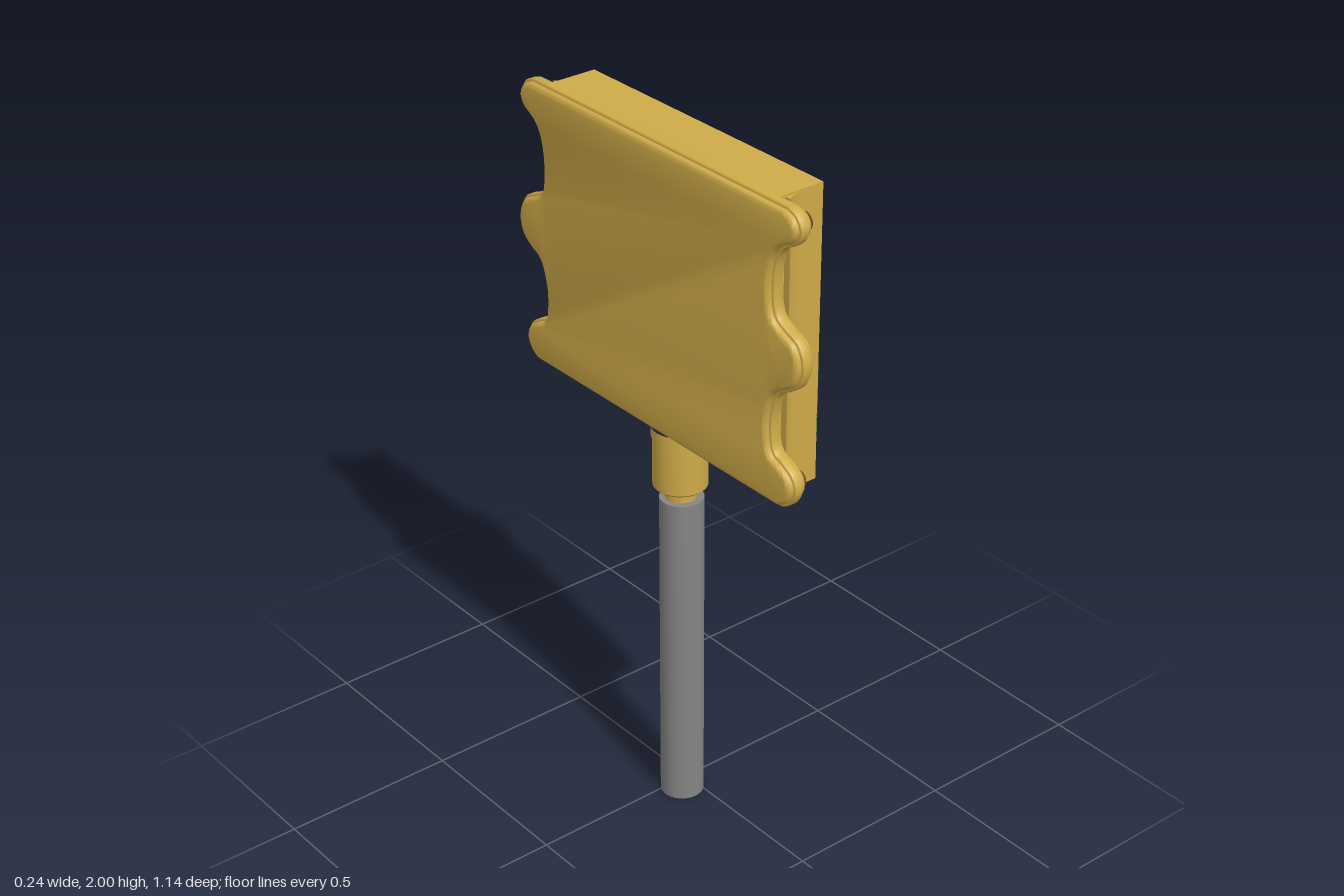
import * as THREE from 'three';
import { toCreasedNormals } from 'three/addons/utils/BufferGeometryUtils.js';

const mat = (color) => new THREE.MeshStandardMaterial({ color });
const yellow = mat(0xcfaa48), green = mat(0x1b6042), brown = mat(0x70482a);
const domeGrey = mat(0xcccccc), pipeGrey = mat(0x858585);

const BOTTOM = 1.175, TOP = 2, HALF = 0.448;

// Half outline of the back flange, [sideways, height], from top to bottom
const EARS = [
  [0.5, 2], [0.535, 1.985], [0.552, 1.95], [0.535, 1.912], [0.485, 1.88], [0.462, 1.83],
  [0.456, 1.76], [0.466, 1.70], [0.5, 1.675], [0.55, 1.65], [0.571, 1.595], [0.556, 1.54],
  [0.52, 1.51], [0.48, 1.485], [0.46, 1.43], [0.456, 1.38], [0.466, 1.32], [0.5, 1.302],
  [0.54, 1.275], [0.552, 1.235], [0.532, 1.195], [0.5, 1.175],
];

function flangeShape() {
  const side = new THREE.SplineCurve(EARS.map(([x, y]) => new THREE.Vector2(x, y))).getPoints(66);
  const other = side.map((p) => new THREE.Vector2(-p.x, p.y)).reverse();
  return new THREE.Shape([...side, ...other]);
}

// Plate between two x positions, its outline pulled in by inset, with rounded rims
function plate(x0, x1, inset, bevel) {
  const geo = new THREE.ExtrudeGeometry(flangeShape(), {
    depth: x1 - x0 - 2 * bevel, bevelThickness: bevel, bevelSize: bevel,
    bevelOffset: -inset - bevel, bevelSegments: 3, curveSegments: 1,
  });
  geo.translate(0, 0, x0 + bevel).rotateY(Math.PI / 2);
  return toCreasedNormals(geo, 0.7);
}

// Concave fillet joining the flange to the housing wall
function fillet(side) {
  const s = new THREE.Shape();
  s.moveTo(-0.065, -side * 0.43);
  s.lineTo(-0.065, -side * 0.468);
  s.quadraticCurveTo(-0.05, -side * HALF, 0, -side * HALF);
  s.lineTo(0, -side * 0.43);
  const geo = new THREE.ExtrudeGeometry(s, {
    depth: TOP - BOTTOM - 0.01, bevelEnabled: false, curveSegments: 6,
  });
  geo.rotateX(-Math.PI / 2).translate(0, BOTTOM + 0.005, 0);
  return toCreasedNormals(geo, 0.7);
}

// Turned part from [radius, height] points
function turned(points, segments) {
  const geo = new THREE.LatheGeometry(points.map(([r, y]) => new THREE.Vector2(r, y)), segments);
  return toCreasedNormals(geo, 0.6);
}

export function createModel() {
  const model = new THREE.Group();
  const add = (name, geo, material, x = 0, y = 0, z = 0) => {
    const mesh = new THREE.Mesh(geo, material);
    mesh.name = name;
    mesh.position.set(x, y, z);
    model.add(mesh);
    return mesh;
  };

  // Housing with its eared back flange
  add('housing', new THREE.BoxGeometry(0.155, TOP - BOTTOM, 2 * HALF), yellow, -0.0225, (TOP + BOTTOM) / 2, 0);
  add('backFlange', plate(-0.12, -0.06, 0.008, 0.012), yellow);
  add('flangeSeam', plate(-0.104, -0.078, 0, 0.004), yellow);
  for (const side of [1, -1]) add('flangeFillet', fillet(side), yellow);

  // Domed screws in the ears
  for (const side of [1, -1]) {
    for (const y of [1.945, 1.587, 1.235]) {
      const head = turned([[0.029, 0], [0.029, 0.01], [0.025, 0.019], [0.014, 0.025], [0, 0.026]], 16);
      head.rotateZ(-Math.PI / 2);
      add('screw', head, brown, -0.062, y, side * 0.498);
    }
  }

  // Coloured band and flattened dome on the face
  add('band', new THREE.BoxGeometry(0.002, 0.19, 2 * HALF), green, 0.0551, 1.395, 0);
  const dome = new THREE.SphereGeometry(0.115, 40, 16, 0, Math.PI * 2, 0, Math.PI / 2);
  dome.scale(1, 0.565, 1).rotateZ(-Math.PI / 2);
  add('dome', dome, domeGrey, 0.055, 1.775, 0.02);

  // Cable gland and neck under the housing
  add('gland', turned([
    [0, 0.995], [0.068, 0.995], [0.075, 1.002], [0.075, 1.15], [0.079, 1.152], [0.079, 1.18],
  ], 32), yellow, -0.04, 0, 0.022);
  add('neck', new THREE.CylinderGeometry(0.044, 0.044, 0.06, 24), yellow, -0.04, 0.98, 0.025);

  // Hollow pipe with a core set back from its open end
  add('pipe', turned([
    [0.042, 0.05], [0.042, 0], [0.061, 0], [0.061, 0.963], [0, 0.963],
  ], 24), pipeGrey, -0.04, 0, 0.028);
  add('pipeCore', new THREE.CylinderGeometry(0.043, 0.043, 0.9, 24), yellow, -0.04, 0.485, 0.028);

  return model;
}
